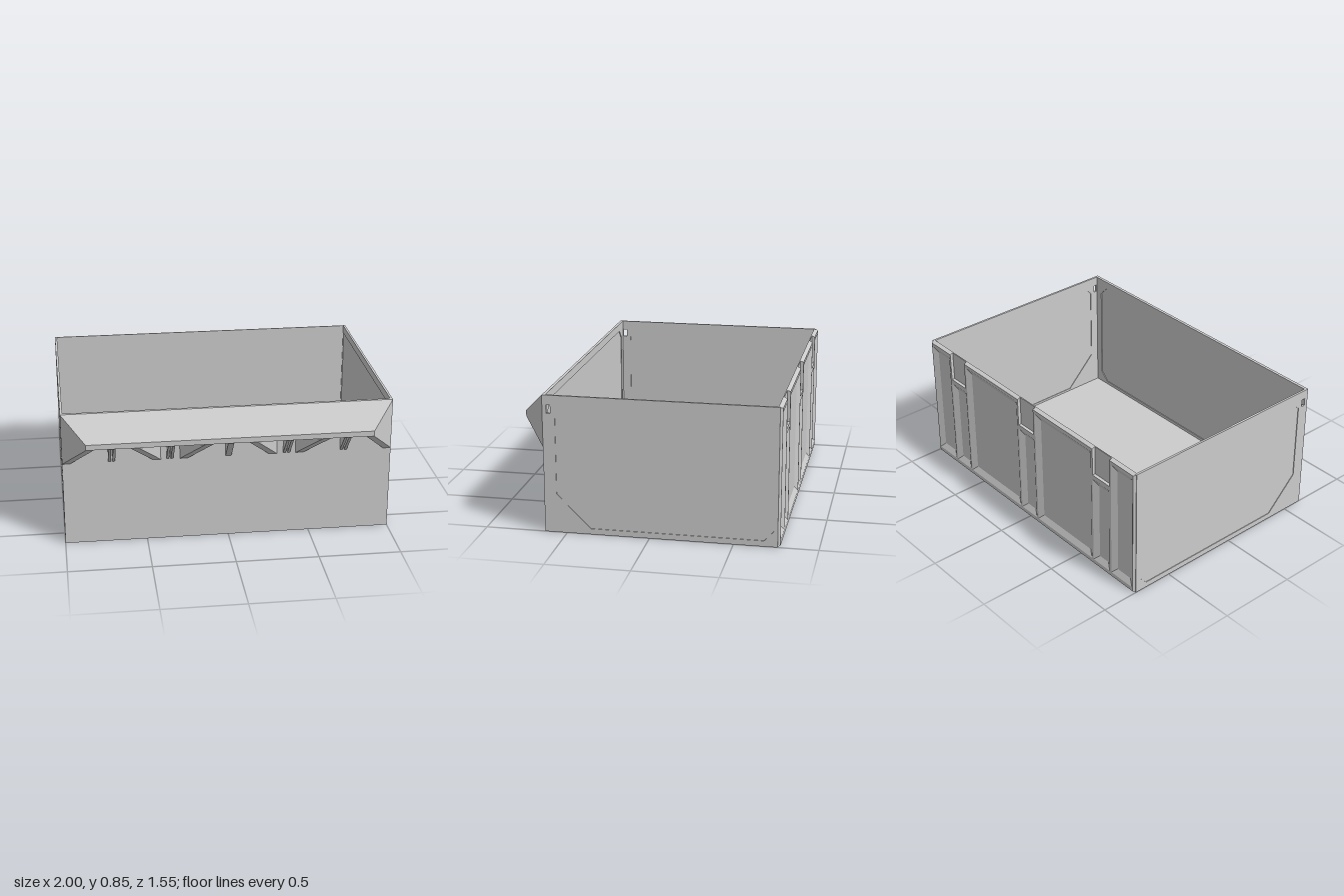
import * as THREE from 'three';

const H = 0.845, FRONT = 0.635, BACK = -0.775, REACH = 0.14;

const shapeOf = (pts) => new THREE.Shape(pts.map(([x, y]) => new THREE.Vector2(x, y)));
const rect = (x0, y0, x1, y1) => [[x0, y0], [x1, y0], [x1, y1], [x0, y1]];

function plate(outline, depth, holes = []) {
  const s = shapeOf(outline);
  for (const h of holes) s.holes.push(shapeOf(h));
  return new THREE.ExtrudeGeometry(s, { depth, bevelEnabled: false });
}

// extrudes a (z, y) profile along x, from x0 to x0 + width
const alongX = (outline, x0, width, holes) =>
  plate(outline, width, holes).rotateY(-Math.PI / 2).translate(x0 + width, 0, 0);

// moves every vertex by a rule
function warp(geo, rule) {
  const p = geo.attributes.position, v = new THREE.Vector3();
  for (let i = 0; i < p.count; i++) {
    rule(v.fromBufferAttribute(p, i));
    p.setXYZ(i, v.x, v.y, v.z);
  }
  geo.computeVertexNormals();
  return geo;
}

// four sloping sides of a pocket sunk from z0 to z1, seen from -z
function pocketSides([x0, y0, x1, y1], b, z0, z1) {
  const outer = rect(x0, y0, x1, y1), inner = rect(x0 + b, y0 + b, x1 - b, y1 - b);
  const pos = [];
  for (let i = 0; i < 4; i++) {
    const j = (i + 1) % 4;
    const a = [...outer[i], z0], c = [...outer[j], z0], d = [...inner[j], z1], e = [...inner[i], z1];
    pos.push(...a, ...d, ...c, ...a, ...e, ...d);
  }
  const g = new THREE.BufferGeometry();
  g.setAttribute('position', new THREE.Float32BufferAttribute(pos, 3));
  g.computeVertexNormals();
  return g;
}

export function createModel() {
  const group = new THREE.Group();
  const mat = new THREE.MeshStandardMaterial({ color: 0xcccccc, flatShading: true, side: THREE.DoubleSide });
  const add = (name, geo) => {
    const m = new THREE.Mesh(geo, mat);
    m.name = name;
    group.add(m);
    return m;
  };

  // floor
  add('floor', new THREE.BoxGeometry(1.98, 0.02, 1.37).translate(0, 0.01, -0.06));

  // side walls: frame with a slot and a slightly recessed panel
  const panel = [[0.56, 0.735], [0.495, 0.795], [-0.74, 0.795], [-0.74, 0.1],
    [-0.68, 0.035], [0.355, 0.035], [0.56, 0.24]];
  const slot = rect(0.587, 0.735, 0.611, 0.785);
  const T = 0.014;
  for (const [side, x] of [['left', 1 - T], ['right', -1]]) {
    add(side + 'WallFrame', alongX(rect(-0.76, 0, FRONT, H), x, T, [panel, slot]));
    add(side + 'WallPanel', alongX(panel, x + 0.004, T - 0.008));
  }

  // front wall, with a shallow raised frame on the inside
  add('frontWall', new THREE.BoxGeometry(1.98, H, 0.014).translate(0, H / 2, FRONT - 0.007));
  const window = [[-0.94, 0.1], [-0.88, 0.04], [0.88, 0.04], [0.94, 0.1],
    [0.94, 0.735], [0.88, 0.795], [-0.88, 0.795], [-0.94, 0.735]];
  add('frontWallInnerFrame', plate(rect(-0.986, 0, 0.986, H), 0.005, [window]).translate(0, 0, FRONT - 0.019));

  // back wall: thin sheet, notched frame and bevelled pockets
  const floorZ = BACK + 0.02;
  add('backSheet', new THREE.BoxGeometry(1.98, H, 0.007).translate(0, H / 2, floorZ + 0.0035));
  const pockets = [];
  for (const s of [-1, 1]) {
    const span = (a, b, y1) => pockets.push([Math.min(s * a, s * b), 0.035, Math.max(s * a, s * b), y1]);
    span(0.795, 0.98, 0.815);
    span(0.63, 0.78, 0.625);
    span(0.09, 0.615, 0.815);
  }
  pockets.push([-0.075, 0.035, 0.075, 0.625]);
  const outline = [[-1, 0], [1, 0], [1, H]];
  for (const c of [0.705, 0, -0.705]) {
    outline.push([c + 0.075, H], [c + 0.075, 0.655], [c - 0.075, 0.655], [c - 0.075, H]);
  }
  outline.push([-1, H]);
  const frame = plate(outline, 0.02, pockets.map((p) => rect(...p))).translate(0, 0, BACK);
  add('backFrame', warp(frame, (v) => {
    if (v.z > BACK + 0.01) return;
    if (Math.abs(v.x) > 0.99) v.x *= 0.986;
    if (v.y > 0.84) v.y -= 0.008;
    if (v.y < 0.01) v.y += 0.008;
  }));
  for (const p of pockets) add('backPocket', pocketSides(p, 0.036, BACK, floorZ));

  // front lip: hollow sloped hood, narrowing towards the front
  const hood = [[FRONT, H], [0.775, 0.703], [0.775, 0.67], [0.757, 0.67], [0.757, 0.695], [FRONT, 0.818]];
  add('lipHood', warp(alongX(hood, -1, 2), (v) => { v.x *= 1 - (v.z - FRONT); }));

  // slanted gussets closing the three bays under the lip
  const gusset = [[FRONT, H - 0.002], [0.775, 0.703], [0.775, 0.67], [FRONT, 0.527]];
  for (const [x0, x1] of [[-1, -0.41], [-0.295, 0.295], [0.41, 1]]) {
    add('lipGusset', warp(alongX(gusset, x0, 0.048), (v) => { v.x += Math.min(v.z - FRONT, REACH); }));
    add('lipGusset', warp(alongX(gusset, x1 - 0.048, 0.048), (v) => { v.x -= Math.min(v.z - FRONT, REACH); }));
  }

  // straight ribs under the lip
  const rib = [[FRONT, 0.83], [0.765, 0.7], [0.765, 0.67], [FRONT, 0.53]];
  add('lipRib', alongX(rib, -0.018, 0.036));
  for (const x of [-0.705, -0.355, 0.355, 0.705]) {
    for (const s of [-1, 1]) add('lipRib', alongX(rib, x + s * 0.013 - 0.008, 0.016));
  }
  return group;
}
